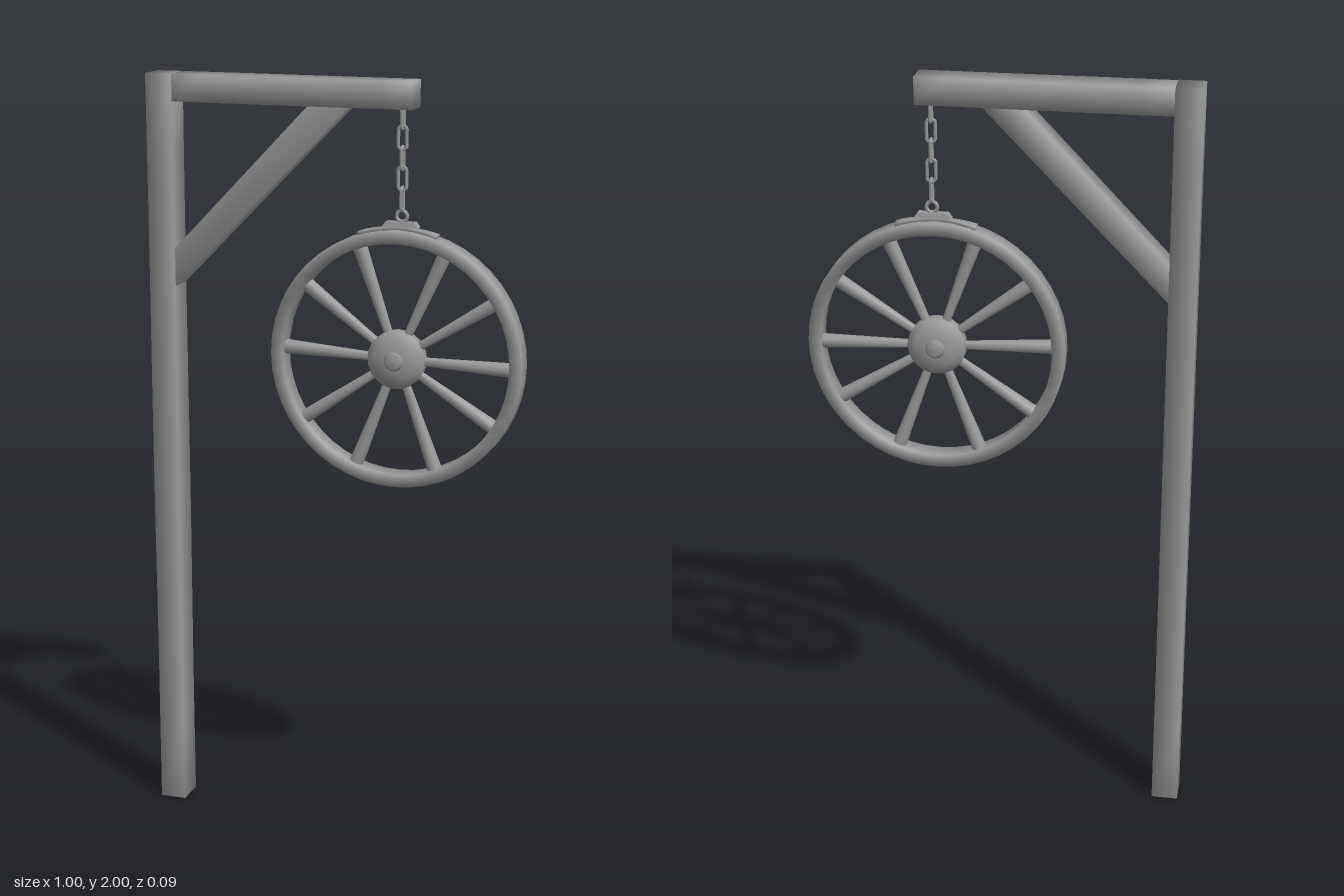
import * as THREE from 'three';
import { mergeVertices, toCreasedNormals } from 'three/addons/utils/BufferGeometryUtils.js';

const material = new THREE.MeshStandardMaterial({ color: 0x999999, side: THREE.DoubleSide });

function add(parent, name, geometry, x = 0, y = 0, z = 0) {
  const mesh = new THREE.Mesh(geometry, material);
  mesh.name = name;
  mesh.position.set(x, y, z);
  parent.add(mesh);
  return mesh;
}

const crease = (geometry) => toCreasedNormals(geometry, 0.7);

// Shared corners, so shading rolls softly over every edge
function soften(geometry) {
  geometry.deleteAttribute('uv');
  geometry.deleteAttribute('normal');
  const welded = mergeVertices(geometry, 1e-5);
  welded.computeVertexNormals();
  return welded;
}

// Slightly uneven depth, as in hand-cut timber
function hew(geometry) {
  const p = geometry.attributes.position;
  for (let i = 0; i < p.count; i++) {
    const along = p.getX(i) * 7 + p.getY(i) * 5;
    p.setZ(i, p.getZ(i) * (1 + 0.035 * Math.sin(along)));
  }
  return soften(geometry);
}

// Profile of [radius, z] points turned around the wheel's axle
function lathe(points, segments) {
  const profile = points.map(([r, z]) => new THREE.Vector2(r, z));
  return new THREE.LatheGeometry(profile, segments).rotateX(Math.PI / 2);
}

// Long chain link lying in the xy plane
function linkGeometry(w, h) {
  const c = w * 0.5;
  const corners = [[w, -h + c], [w, h - c], [c, h], [-c, h], [-w, h - c], [-w, -h + c], [-c, -h], [c, -h]];
  const path = new THREE.CurvePath();
  corners.forEach(([x, y], i) => {
    const [nx, ny] = corners[(i + 1) % corners.length];
    path.add(new THREE.LineCurve3(new THREE.Vector3(x, y, 0), new THREE.Vector3(nx, ny, 0)));
  });
  return new THREE.TubeGeometry(path, 32, 0.0045, 6, true);
}

export function createModel() {
  const model = new THREE.Group();
  model.name = 'hangingWheelPost';

  // Timber frame
  add(model, 'post', hew(new THREE.BoxGeometry(0.07, 2, 0.081, 1, 10, 1).translate(-0.465, 1, 0)));
  add(model, 'beam', hew(new THREE.BoxGeometry(0.64, 0.07, 0.075, 8, 1, 1).translate(-0.11, 1.965, -0.002)));

  const braceShape = new THREE.Shape([
    new THREE.Vector2(-0.44, 1.44), new THREE.Vector2(0.045, 1.935),
    new THREE.Vector2(-0.06, 1.935), new THREE.Vector2(-0.44, 1.54),
  ]);
  const brace = new THREE.ExtrudeGeometry(braceShape, { depth: 0.07, bevelEnabled: false });
  add(model, 'brace', soften(brace.translate(0, 0, -0.037)));

  // Chain with links turned alternately
  const chain = new THREE.Group();
  chain.name = 'chain';
  chain.position.set(0.175, 0, -0.002);
  model.add(chain);
  for (let i = 0; i < 5; i++) {
    const link = add(chain, 'chainLink', linkGeometry(0.011, 0.029), 0, 1.908 - i * 0.051, 0);
    link.rotation.y = i % 2 ? 0 : Math.PI / 2;
  }
  add(chain, 'hangingRing', new THREE.TorusGeometry(0.014, 0.005, 6, 14), 0, 1.66, 0);

  // Wheel
  const wheel = new THREE.Group();
  wheel.name = 'wheel';
  wheel.position.set(0.165, 1.29, -0.003);
  model.add(wheel);
  add(wheel, 'rim', soften(lathe(
    [[0.302, -0.027], [0.335, -0.027], [0.335, 0.027], [0.302, 0.027], [0.302, -0.027]], 48)));
  add(wheel, 'hub', lathe([
    [0, -0.036], [0.026, -0.035], [0.055, -0.028], [0.076, -0.014],
    [0.076, 0.014], [0.055, 0.028], [0.026, 0.035], [0, 0.036],
  ], 24));
  add(wheel, 'axle', lathe([
    [0, -0.042], [0.017, -0.041], [0.025, -0.036], [0.025, 0.036], [0.017, 0.041], [0, 0.042],
  ], 16));

  // Hand-set spokes, thicker at the rim and not quite evenly spaced
  for (const degrees of [-1.5, 32, 66, 109.5, 143.5, 177.5, 214.5, 249, 290, 328]) {
    const shaft = new THREE.CylinderGeometry(0.019, 0.011, 0.25, 10).translate(0, 0.185, 0);
    add(wheel, 'spoke', crease(shaft)).rotation.z = THREE.MathUtils.degToRad(degrees - 90);
  }

  // Curved hanger strap over the rim, flaring towards its ends
  const strap = new THREE.BoxGeometry(0.21, 0.01, 0.024, 12, 1, 1);
  const p = strap.attributes.position;
  for (let i = 0; i < p.count; i++) {
    const x = p.getX(i), angle = x / 0.338, r = 0.338 + p.getY(i);
    p.setXYZ(i, Math.sin(angle) * r, Math.cos(angle) * r, p.getZ(i) * (0.4 + 8.5 * Math.abs(x)));
  }
  add(wheel, 'hangerStrap', soften(strap));
  const boss = new THREE.CylinderGeometry(0.04, 0.05, 0.014, 4).rotateY(Math.PI / 4).scale(1.35, 1, 0.4);
  add(wheel, 'hangerBoss', crease(boss), 0.007, 0.349, 0);

  return model;
}
